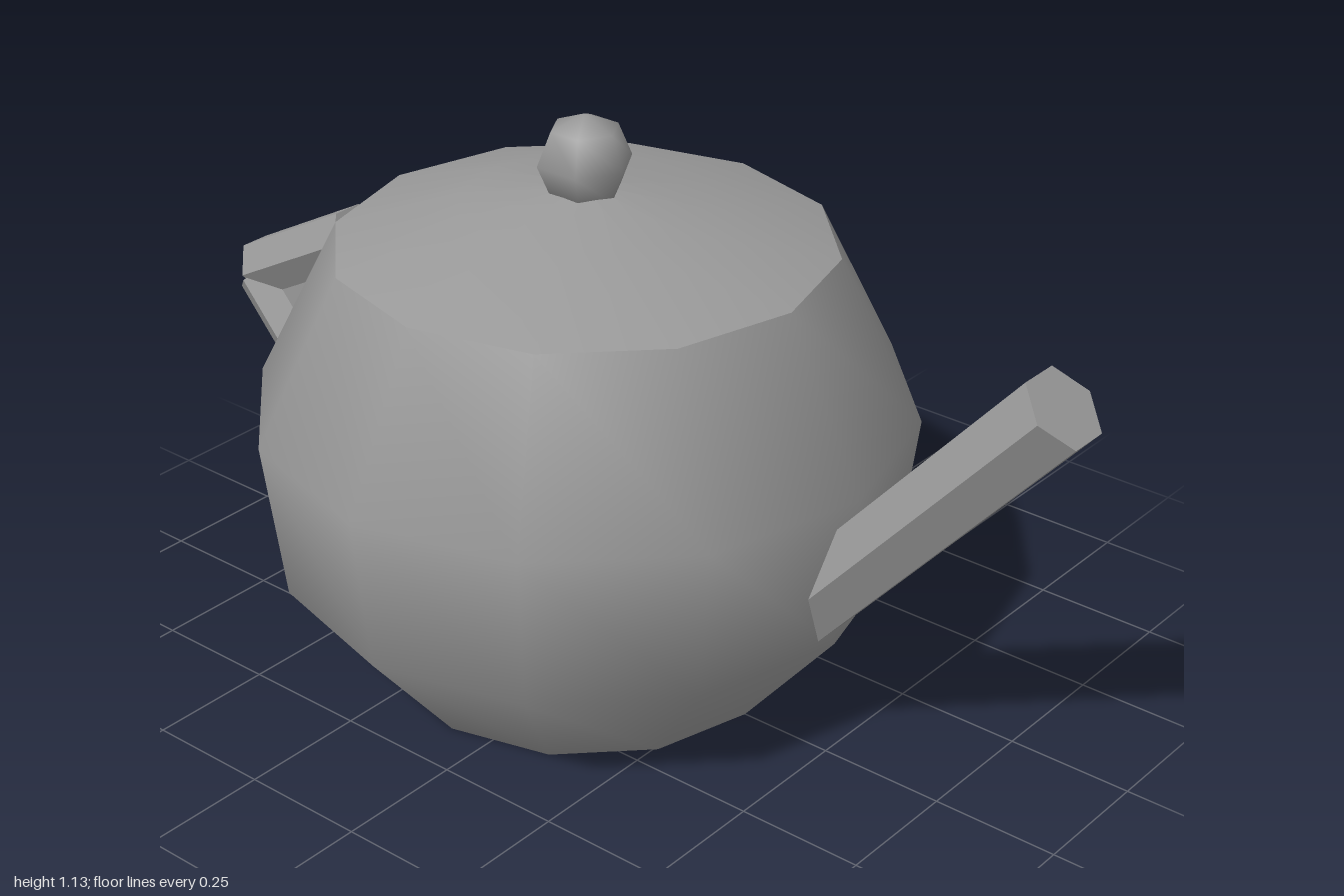
import * as THREE from 'three';

const CENTER_X = -0.085; // axis of the pot body

export function createModel() {
  const group = new THREE.Group();
  group.name = 'teapot';

  const grey = new THREE.MeshStandardMaterial({ color: 0x999999 });
  grey.name = 'grey clay';
  const greyFlat = grey.clone();
  greyFlat.flatShading = true;

  const add = (name, geometry, material, x = 0, y = 0) => {
    const mesh = new THREE.Mesh(geometry, material);
    mesh.name = name;
    mesh.position.set(x, y, 0);
    group.add(mesh);
    return mesh;
  };

  // twelve-sided smooth shell from [radius, height] pairs, bottom to top
  const shell = (pairs) =>
    new THREE.LatheGeometry(pairs.map(([r, y]) => new THREE.Vector2(r, y)), 12);

  // six-sided bar between two points in the xy plane
  const bar = (name, from, to, radius) => {
    const a = new THREE.Vector3(...from, 0);
    const b = new THREE.Vector3(...to, 0);
    const geometry = new THREE.CylinderGeometry(radius, radius, a.distanceTo(b), 6);
    const mesh = add(name, geometry, greyFlat);
    mesh.position.copy(a).lerp(b, 0.5);
    mesh.rotation.z = Math.atan2(b.y - a.y, b.x - a.x) - Math.PI / 2;
  };

  // pot
  add('body', shell([[0.395, 0], [0.595, 0.24], [0.635, 0.555], [0.475, 0.875]]), grey, CENTER_X);
  const base = new THREE.CircleGeometry(0.395, 12).rotateX(Math.PI / 2);
  add('base', base, grey, CENTER_X);

  // lid and knob
  add('lid', shell([[0.475, 0.875], [0.237, 0.954], [0, 0.99]]), grey, CENTER_X);
  add('knob', new THREE.SphereGeometry(0.092, 6, 4), grey, CENTER_X, 1.034);

  // spout on the left, two-bar handle on the right
  bar('spout', [0.42, 0.273], [0.947, 0.875], 0.08);
  bar('upperHandle', [-0.96, 0.563], [-0.682, 0.713], 0.064);
  bar('lowerHandle', [-0.958, 0.553], [-0.683, 0.243], 0.064);

  return group;
}
